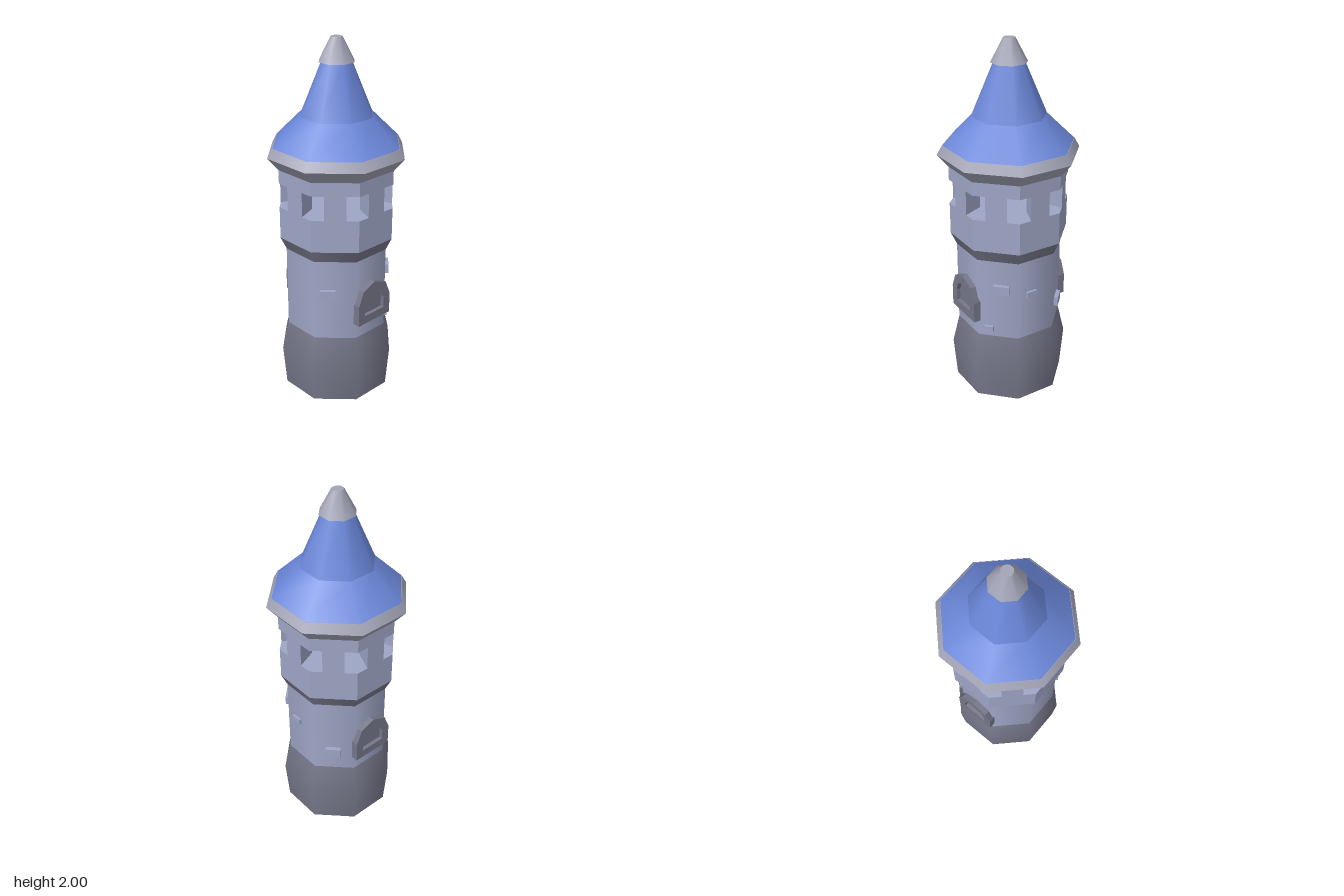
import * as THREE from 'three';

const mat = (name, color) => {
  const m = new THREE.MeshStandardMaterial({ color });
  m.name = name;
  return m;
};

export function createModel() {
  const wall = mat('wallStone', 0x9ea5c5);
  const dark = mat('darkStone', 0x757688);
  const trim = mat('trimStone', 0xa2a4b6);
  const blue = mat('roofBlue', 0x6a86d8);

  const model = new THREE.Group();
  model.name = 'tower';
  const CORNER = 1 / Math.cos(Math.PI / 8); // distance to flat -> distance to corner

  const add = (name, geometry, material, parent = model) => {
    const mesh = new THREE.Mesh(geometry, material);
    mesh.name = name;
    parent.add(mesh);
    return mesh;
  };

  // Eight-sided ring, given the distance to its flats at the bottom and top
  const ring = (name, material, a0, y0, a1, y1, flat = false) => {
    let g = new THREE.CylinderGeometry(a1 * CORNER, a0 * CORNER, y1 - y0, 8);
    g.rotateY(Math.PI / 8);
    g.translate(0, (y0 + y1) / 2, 0);
    if (flat) {
      g = g.toNonIndexed();
      g.computeVertexNormals();
    }
    return add(name, g, material);
  };

  // Bulging foot
  const footProfile = [[0.288, 0], [0.306, 0.235], [0.27, 0.4]]
    .map(([a, y]) => new THREE.Vector2(a * CORNER, y));
  add('foot', new THREE.LatheGeometry(footProfile, 8, Math.PI / 8), dark);
  const sole = new THREE.CircleGeometry(0.288 * CORNER, 8, Math.PI / 8);
  sole.rotateX(Math.PI / 2);
  add('footBottom', sole, dark);

  // Shaft and the flare below the lookout room
  ring('shaft', wall, 0.27, 0.39, 0.27, 0.875);
  ring('roomFlare', dark, 0.27, 0.87, 0.3, 0.94);

  // Lookout room: parapet, wedge pillars between corner windows, lintel
  ring('parapet', wall, 0.3, 0.94, 0.3, 1.12, true);
  ring('lintel', wall, 0.3, 1.255, 0.3, 1.33, true);
  const pillarShape = new THREE.Shape([[-0.057, 0.3], [-0.011, 0.19], [0.011, 0.19], [0.057, 0.3]]
    .map(([x, z]) => new THREE.Vector2(x, z)));
  const pillarGeo = new THREE.ExtrudeGeometry(pillarShape, { depth: 0.135, bevelEnabled: false });
  pillarGeo.rotateX(Math.PI / 2);
  pillarGeo.translate(0, 1.255, 0);
  for (let i = 0; i < 8; i++) {
    add('pillar', pillarGeo, wall).rotation.y = i * Math.PI / 4;
  }

  // Roof
  ring('eaveUnderside', trim, 0.3, 1.33, 0.354, 1.4);
  ring('eaveRim', trim, 0.354, 1.4, 0.328, 1.45);
  ring('roofSkirt', blue, 0.326, 1.45, 0.185, 1.6);
  ring('roofSpire', blue, 0.185, 1.6, 0.075, 1.88);
  ring('roofTip', trim, 0.09, 1.875, 0.029, 2);

  // Arched blind windows on front and back
  const arch = (w, y0, y1, y2, y3) => [
    [-w, y0], [w, y0], [w, y1], [w * 0.72, y2], [0, y3], [-w * 0.72, y2], [-w, y1],
  ].map(([x, y]) => new THREE.Vector2(x, y));
  const frameShape = new THREE.Shape(arch(0.12, 0.49, 0.61, 0.692, 0.727));
  const opening = arch(0.073, 0.538, 0.605, 0.655, 0.676);
  frameShape.holes.push(new THREE.Path(opening));
  const frameGeo = new THREE.ExtrudeGeometry(frameShape, { depth: 0.06, bevelEnabled: false });
  frameGeo.translate(0, 0, 0.242);
  const panelGeo = new THREE.ShapeGeometry(new THREE.Shape(opening));
  panelGeo.translate(0, 0, 0.28);
  for (const angle of [0, Math.PI]) {
    const niche = new THREE.Group();
    niche.name = 'archedWindow';
    niche.rotation.y = angle;
    add('archFrame', frameGeo, dark, niche);
    add('archPanel', panelGeo, dark, niche);
    model.add(niche);
  }

  // Loose bricks: face angle, sideways offset, height, width, thickness, reach from axis
  const bricks = [
    [45, 0.019, 0.705, 0.09, 0.052, 0.293],
    [45, -0.05, 0.45, 0.05, 0.034, 0.287],
    [90, -0.03, 0.668, 0.06, 0.032, 0.284],
    [135, -0.007, 0.53, 0.085, 0.054, 0.293],
    [-45, -0.042, 0.675, 0.085, 0.054, 0.293],
  ];
  for (const [deg, side, y, w, h, reach] of bricks) {
    const g = new THREE.BoxGeometry(w, h, 0.06);
    g.translate(side, y, reach - 0.03);
    add('brick', g, wall).rotation.y = THREE.MathUtils.degToRad(deg);
  }

  return model;
}
